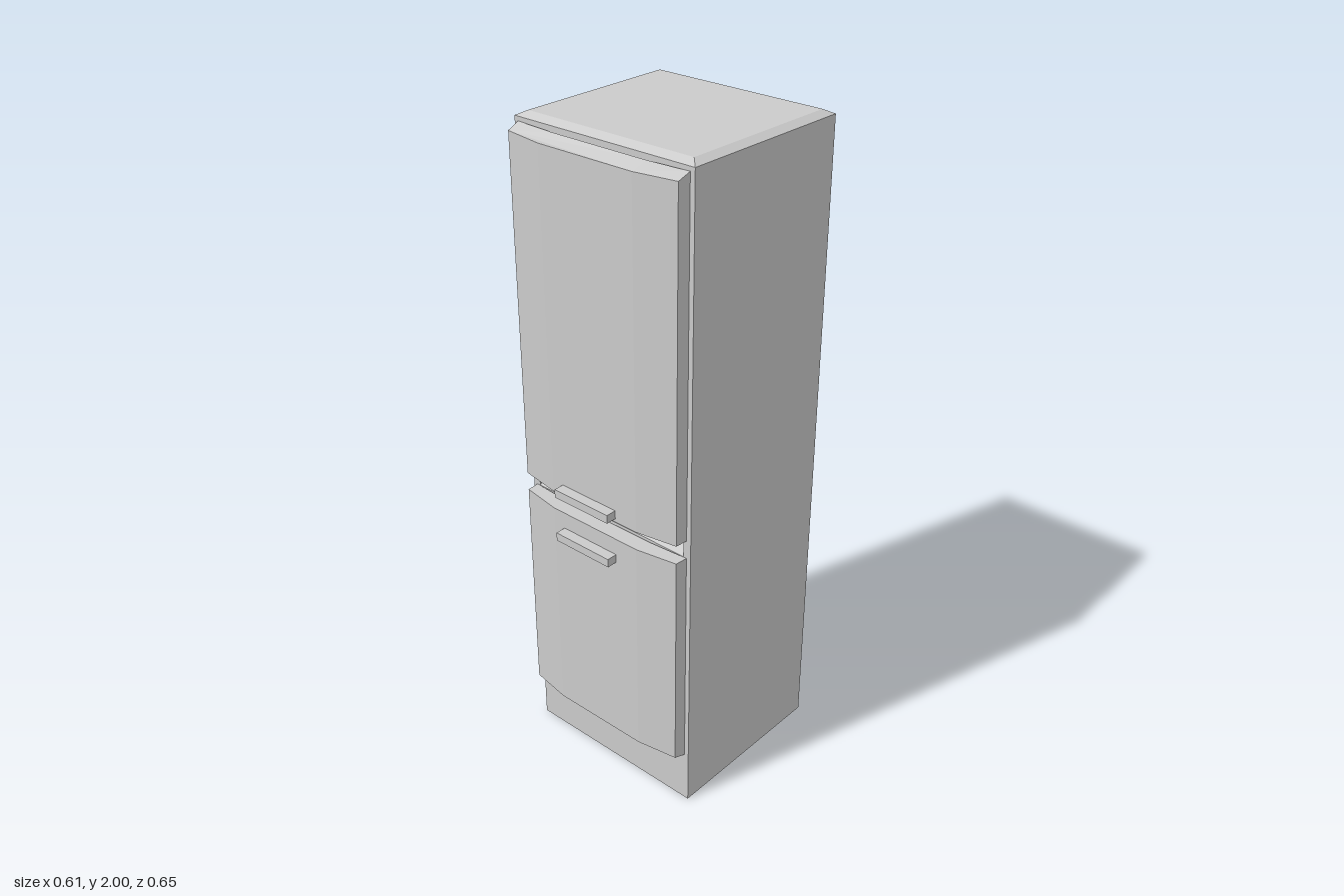
import * as THREE from 'three';

const W = 0.305, IN = 0.28, BACK = -0.327, FRONT = 0.231, RIM = 1.987, BEVEL = 0.025;
const mat = new THREE.MeshStandardMaterial({ color: 0xcccccc, flatShading: true });

function add(group, geo, name) {
  geo.computeVertexNormals();
  const mesh = new THREE.Mesh(geo, mat);
  mesh.name = name;
  group.add(mesh);
  return mesh;
}

// Extrude a side profile of [z, y] points from x0 to x1
function extrudeX(points, x0, x1) {
  const shape = new THREE.Shape(points.map(([z, y]) => new THREE.Vector2(-z, y)));
  const geo = new THREE.ExtrudeGeometry(shape, { depth: x1 - x0, bevelEnabled: false });
  return geo.rotateY(Math.PI / 2).translate(x0, 0, 0);
}

// Bowed door: plan outline extruded upwards, one end sloping in towards the front
function door(y0, y1, slopeTop, slopeBottom) {
  const plan = [
    [-0.291, 0.232], [-0.16, 0.241], [0.16, 0.241], [0.291, 0.232],
    [0.288, 0.271], [0.16, 0.292], [-0.16, 0.292], [-0.288, 0.271],
  ];
  const shape = new THREE.Shape(plan.map(([x, z]) => new THREE.Vector2(x, -z)));
  const geo = new THREE.ExtrudeGeometry(shape, { depth: y1 - y0, bevelEnabled: false });
  geo.rotateX(-Math.PI / 2).translate(0, y0, 0);
  const p = geo.attributes.position, mid = (y0 + y1) / 2;
  for (let i = 0; i < p.count; i++) {
    if (p.getZ(i) < 0.25) continue;
    const y = p.getY(i);
    p.setY(i, y > mid ? y - slopeTop : y + slopeBottom);
  }
  return geo;
}

export function createModel() {
  const model = new THREE.Group();
  model.name = 'fridgeFreezer';

  // Cabinet: middle section with a finger groove between the doors
  const cabinet = new THREE.Group();
  cabinet.name = 'cabinet';
  model.add(cabinet);
  const top = [[FRONT, RIM], [FRONT - BEVEL, 2], [BACK + BEVEL, 2], [BACK, RIM]];
  const groove = [[FRONT, 0.88], [FRONT - 0.03, 0.9], [FRONT - 0.03, 0.937], [FRONT, 0.937]];
  add(cabinet, extrudeX([[BACK, 0], [FRONT, 0], ...groove, ...top], -IN, IN), 'cabinetMiddle');

  // Cabinet sides, whose outer top edge drops to the rim to form the bevel
  for (const s of [-1, 1]) {
    const geo = extrudeX([[BACK, 0], [FRONT, 0], ...top], s < 0 ? -W : IN, s < 0 ? -IN : W);
    const p = geo.attributes.position;
    for (let i = 0; i < p.count; i++) {
      if (p.getX(i) * s > 0.3 && p.getY(i) > 1.995) {
        p.setY(i, RIM);
        p.setZ(i, p.getZ(i) > 0 ? FRONT : BACK);
      }
    }
    add(cabinet, geo, s < 0 ? 'rightSide' : 'leftSide');
  }

  // Doors
  add(model, door(0.937, 1.975, 0.015, 0), 'upperDoor');
  add(model, door(0.17, 0.88, 0, 0.012), 'lowerDoor');

  // Handles
  for (const [name, y] of [['upperHandle', 0.961], ['lowerHandle', 0.815]]) {
    add(model, new THREE.BoxGeometry(0.203, 0.026, 0.04), name).position.set(-0.0185, y, 0.305);
  }
  return model;
}
